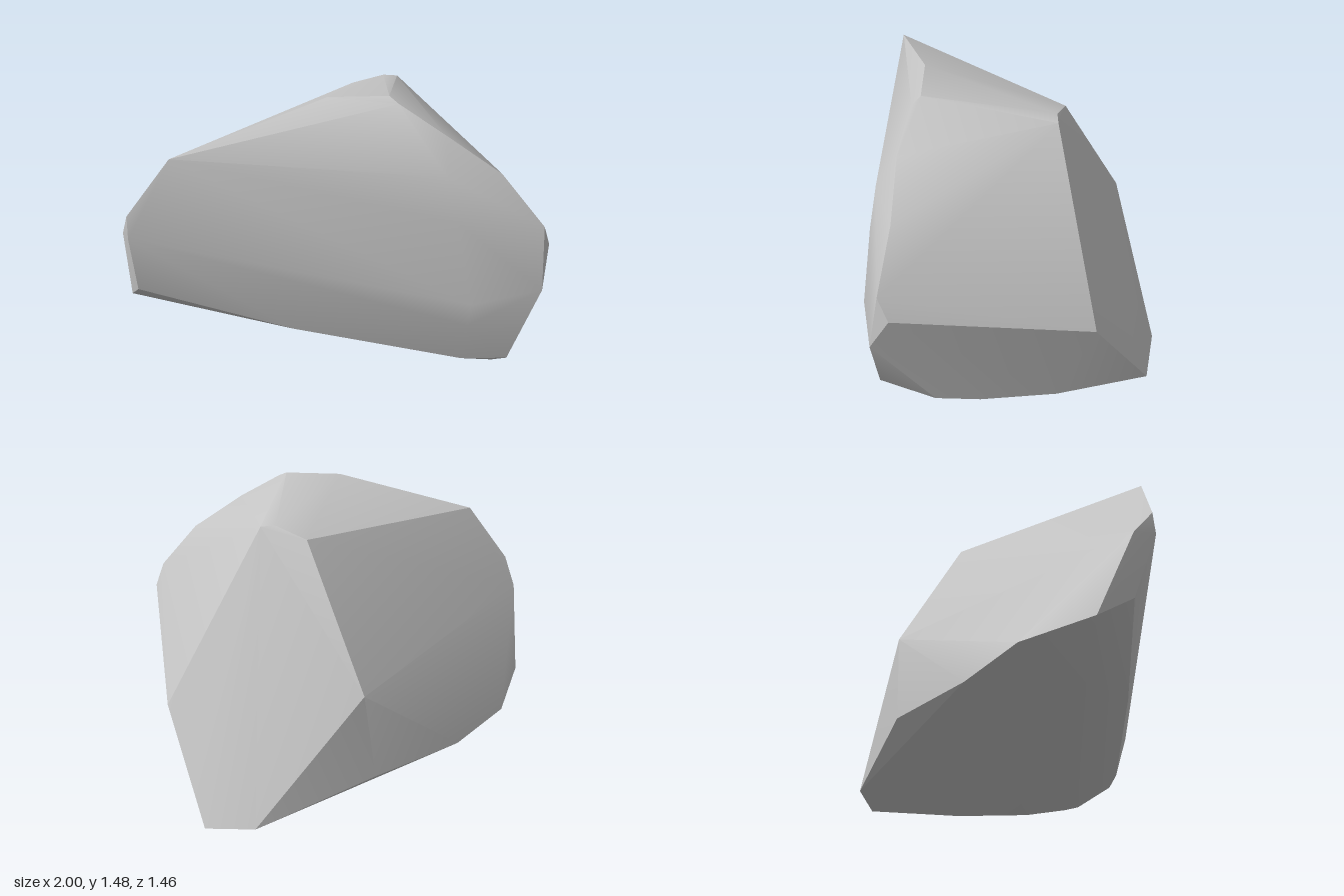
import * as THREE from 'three';
import { ConvexGeometry } from 'three/addons/geometries/ConvexGeometry.js';
import { toCreasedNormals } from 'three/addons/utils/BufferGeometryUtils.js';

export function createModel() {
  const group = new THREE.Group();
  group.name = 'boulder';
  const stone = new THREE.MeshStandardMaterial({ color: 0xc4c4c4 });
  stone.name = 'pale grey stone';

  // Corners of the chipped stone, face by face
  const crown = [
    [-0.03, 1.47, 0.41], [0.25, 1.475, 0.42], [0.29, 1.45, 0.46],
    [0.13, 1.33, -0.25], [0.28, 1.385, -0.2], [0.35, 1.38, -0.2],
  ];
  const leftShoulder = [
    [-0.74, 1.24, 0.56], [-0.95, 0.96, 0.55], [-0.95, 0.85, 0.56],
    [-0.99, 0.83, 0.45], [-1, 0.41, 0.27], [-0.94, 0.53, 0.45],
  ];
  const rightShoulder = [
    [0.5, 1.32, 0.525], [0.76, 1.14, 0.55], [0.96, 0.9, 0.615],
    [1, 0.79, 0.57], [0.96, 0.6, 0.67], [0.82, 0.52, -0.37],
  ];
  const frontFace = [
    [0.5, 1.16, 0.63], [0.55, 0.95, 0.67], [0.62, 0.56, 0.725],
    [0.61, 0.45, 0.72], [0.82, 0.23, 0.66], [0.6, 0.23, 0.655],
    [-0.2, 0.36, 0.565],
  ];
  const back = [
    [-0.14, 0.66, -0.56], [-0.2, 0.22, -0.55],
    [0.38, 0.035, -0.73], [0.63, 0, -0.67],
  ];
  const underside = [
    [-0.63, 0.24, -0.26], [-0.88, 0.325, -0.05], [-0.5, 0.3, 0.3],
    [0.3, 0.16, 0.4], [0.79, 0.1, 0.47], [0.82, 0.09, 0.4],
    [0.8, 0.05, 0.18], [0.75, 0.02, -0.2],
  ];

  const corners = [crown, leftShoulder, rightShoulder, frontFace, back, underside]
    .flat()
    .map((p) => new THREE.Vector3(...p));

  // Shallow edges blend smoothly, strong ones stay sharp
  const geometry = toCreasedNormals(new ConvexGeometry(corners), THREE.MathUtils.degToRad(30));
  const rock = new THREE.Mesh(geometry, stone);
  rock.name = 'rock';
  group.add(rock);
  return group;
}
